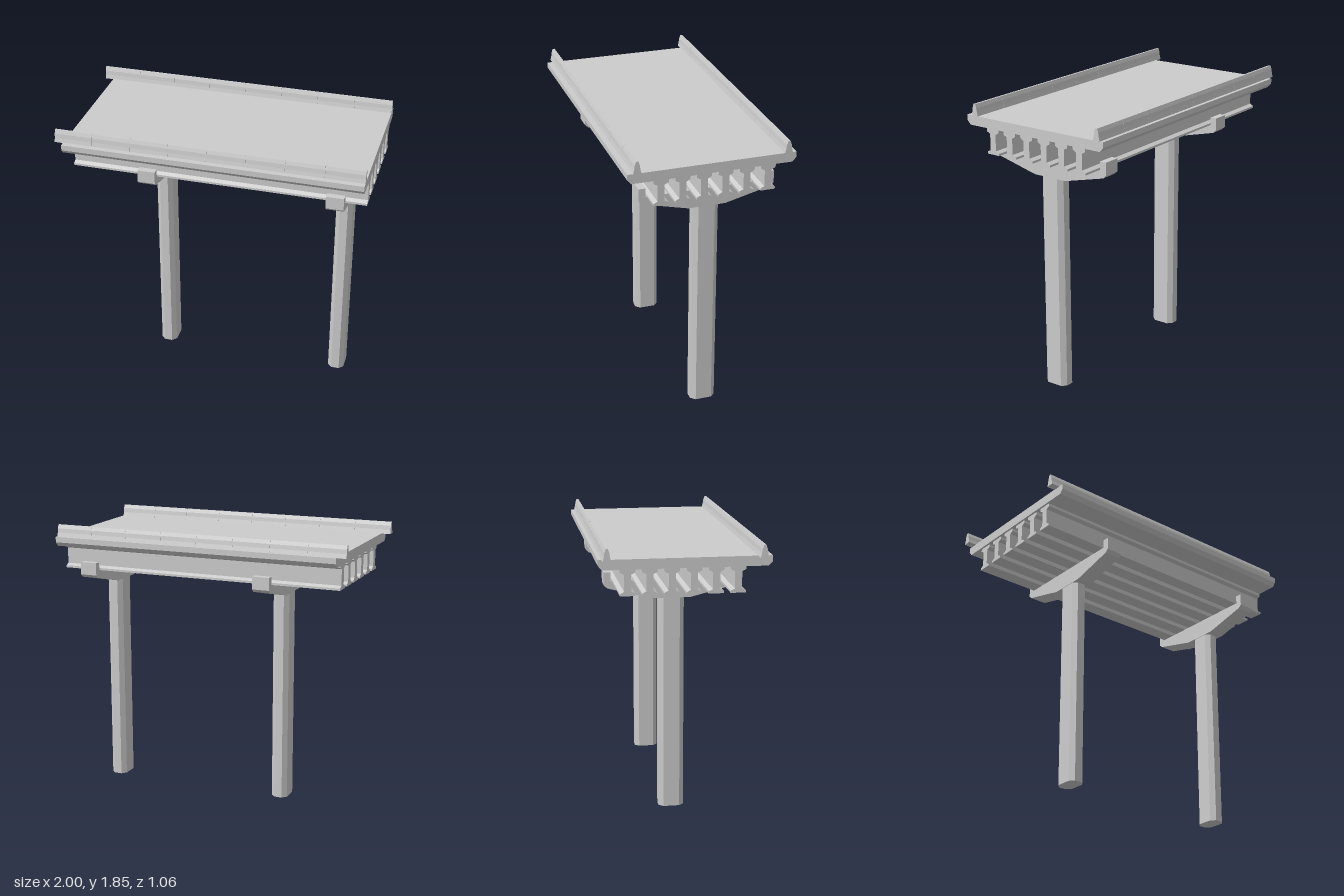
import * as THREE from 'three';

const material = new THREE.MeshStandardMaterial({ color: 0xcccccc, flatShading: true });
const supportZ = -0.012;

// Full outline from one half, mirrored about the vertical axis
const mirrored = (half) => [...half, ...half.map(([a, b]) => [-a, b]).reverse()];

const extrude = (points, depth) => new THREE.ExtrudeGeometry(
  new THREE.Shape(points.map(([a, b]) => new THREE.Vector2(a, b))),
  { depth, bevelEnabled: false },
);

// Symmetric (z, y) section swept along x from x0 to x1
function sweepX(name, half, x0, x1, z) {
  const geometry = extrude(mirrored(half), x1 - x0);
  geometry.rotateY(Math.PI / 2);
  const mesh = new THREE.Mesh(geometry, material);
  mesh.name = name;
  mesh.position.set(x0, 0, z);
  return mesh;
}

// Chamfered column standing on the ground
function column(x) {
  const geometry = extrude(mirrored([
    [0.027, -0.083], [0.055, -0.053], [0.055, 0.053], [0.027, 0.083],
  ]), 1.424);
  geometry.rotateX(-Math.PI / 2);
  const mesh = new THREE.Mesh(geometry, material);
  mesh.name = 'column';
  mesh.position.set(x, 0, supportZ);
  return mesh;
}

// Half sections, listed from the bottom up
const capSection = [
  [0.12, 1.424], [0.414, 1.497], [0.436, 1.517], [0.436, 1.6], [0.392, 1.6], [0.392, 1.545],
];
const girderSection = [
  [0.047, 1.545], [0.047, 1.559], [0.022, 1.572], [0.022, 1.677],
  [0.047, 1.69], [0.047, 1.71],
];
const deckSection = [[0.508, 1.71], [0.532, 1.737], [0.532, 1.773]];
const parapetSection = [
  [0.026, 1.77], [0.019, 1.798], [0.015, 1.825], [0.007, 1.849],
];

export function createModel() {
  const group = new THREE.Group();
  group.name = 'elevatedBridge';

  // Two columns with hammerhead caps
  for (const x of [-0.421, 0.806]) {
    group.add(column(x));
    group.add(sweepX('pierCap', capSection, x - 0.0575, x + 0.0575, supportZ));
  }

  // Six I-section girders
  for (let i = 0; i < 6; i++) {
    group.add(sweepX('girder', girderSection, -0.93, 1, supportZ + (i - 2.5) * 0.1355));
  }

  group.add(sweepX('deck', deckSection, -0.943, 1, 0.002));

  // Eight barrier segments along each edge
  for (const z of [0.472, -0.481]) {
    for (let i = 0; i < 8; i++) {
      const x = -1 + i * 0.25;
      group.add(sweepX('barrierSegment', parapetSection, x, x + (i < 7 ? 0.249 : 0.25), z));
    }
  }
  return group;
}
